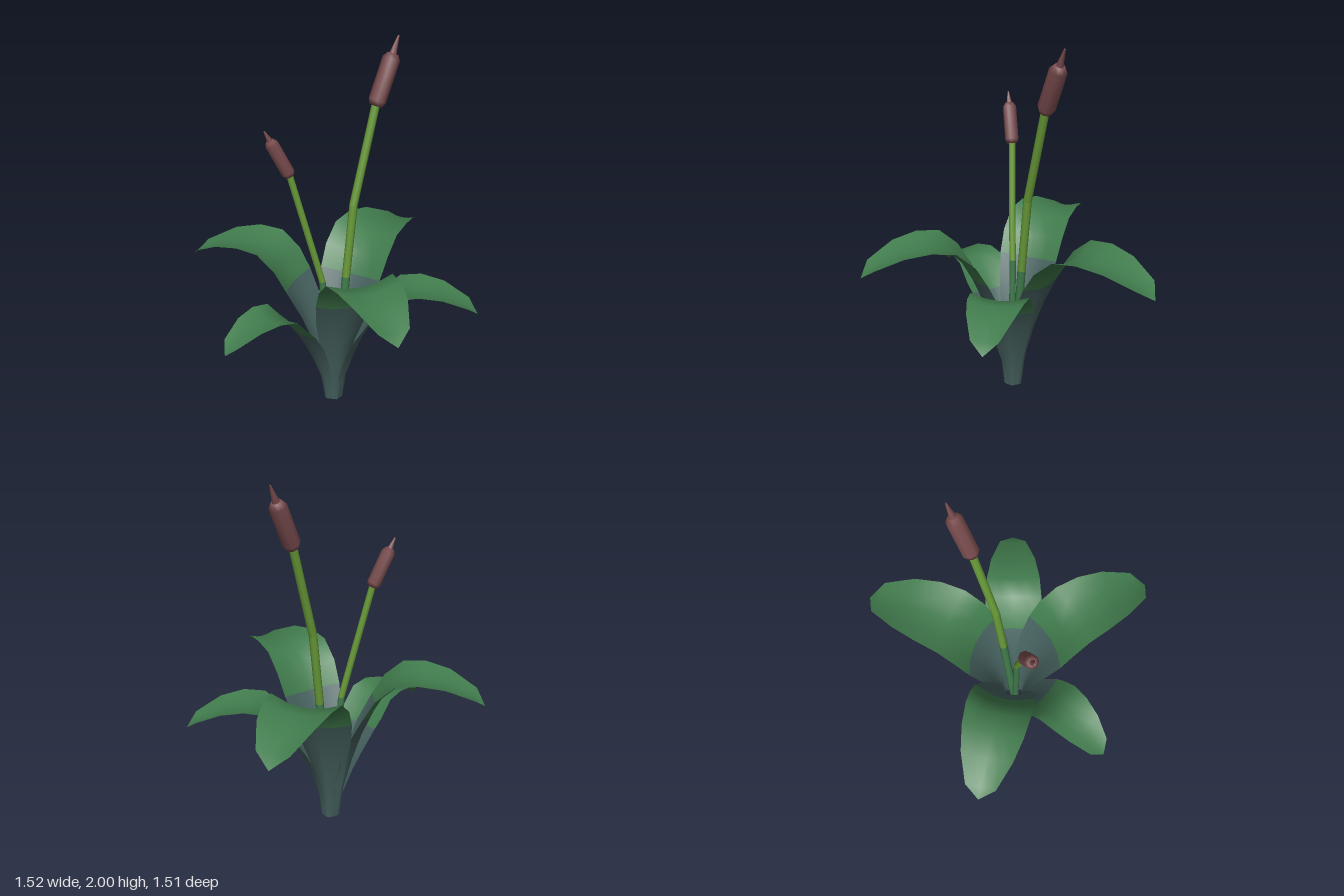
import * as THREE from 'three';

const material = (name, color, side = THREE.FrontSide) => {
  const m = new THREE.MeshStandardMaterial({ color, side });
  m.name = name;
  return m;
};

// Leaf stations from root to tip: distance out, height, width, depth of the gutter
const STATIONS = [
  [0.052, 0, 0.08, 0.038], [0.071, 0.18, 0.135, 0.048], [0.118, 0.36, 0.21, 0.055],
  [0.17, 0.52, 0.29, 0.053], [0.235, 0.67, 0.35, 0.045], [0.295, 0.78, 0.367, 0.042],
  [0.38, 0.86, 0.365, 0.04], [0.49, 0.876, 0.345, 0.036], [0.62, 0.858, 0.288, 0.03],
  [0.77, 0.8, 0.17, 0.016], [0.83, 0.75, 0, 0],
];
const SPLIT = 4; // station where the sheath colour ends
const SPLIT_R = 0.235, TIP_R = 0.83, PEAK = 0.876;
const ACROSS = 4;

// The sheath scales with the leaf's height; the blade stretches outward to its reach
function leafGeometry(reach, height, width) {
  const pos = [], index = [];
  const stretch = (reach - SPLIT_R) / (TIP_R - SPLIT_R);
  const pts = STATIONS.map(([r, y], i) => (i > SPLIT
    ? new THREE.Vector2(SPLIT_R + (r - SPLIT_R) * stretch, y - PEAK * (1 - height))
    : new THREE.Vector2(r, y * height)));
  const last = pts.length - 1;
  pts.forEach((p, i) => {
    const t = pts[Math.min(i + 1, last)].clone().sub(pts[Math.max(i - 1, 0)]).normalize();
    const [, , w, depth] = STATIONS[i];
    for (let j = 0; j <= ACROSS; j++) {
      const s = (j / ACROSS) * 2 - 1;
      const lift = depth * width * width * s * s;
      pos.push(p.x - lift * t.y, i ? p.y + lift * t.x : 0, s * w * width / 2);
    }
  });
  const row = ACROSS + 1;
  for (let i = 0; i < last; i++) {
    for (let j = 0; j < ACROSS; j++) {
      const a = i * row + j, b = a + 1, c = a + row, d = c + 1;
      index.push(a, b, c);
      if (i < last - 1) index.push(b, d, c);
    }
  }
  const g = new THREE.BufferGeometry();
  g.setAttribute('position', new THREE.Float32BufferAttribute(pos, 3));
  // The last row fans into the tip through its middle vertex
  const tip = last * row + ACROSS / 2;
  g.setIndex(index.map(k => (k >= last * row ? tip : k)));
  g.computeVertexNormals();
  const sheathCount = SPLIT * ACROSS * 6;
  g.addGroup(0, sheathCount, 0);
  g.addGroup(sheathCount, index.length - sheathCount, 1);
  return g;
}

// Tapered piece running from one point to another
function rod(name, from, to, r0, r1, sides, mat) {
  const dir = to.clone().sub(from);
  const mesh = new THREE.Mesh(new THREE.CylinderGeometry(r1, r0, dir.length(), sides), mat);
  mesh.name = name;
  mesh.position.copy(from).add(to).multiplyScalar(0.5);
  mesh.quaternion.setFromUnitVectors(new THREE.Vector3(0, 1, 0), dir.normalize());
  return mesh;
}

function cattail(name, path, headEnd, tipEnd, stemR, headR, mats) {
  const group = new THREE.Group();
  group.name = name;
  const p = path.map(a => new THREE.Vector3(...a));
  const end = new THREE.Vector3(...headEnd);
  const tip = new THREE.Vector3(...tipEnd);
  // Stem, greener at its foot
  for (let i = 0; i < p.length - 1; i++) {
    group.add(rod(i ? 'stem' : 'stemFoot', p[i], p[i + 1], stemR, stemR, 8, i ? mats.stem : mats.leaf));
  }
  // Seed head with bevelled ends
  const start = p[p.length - 1];
  const axis = end.clone().sub(start);
  const len = axis.length(), bevel = headR * 0.6;
  const profile = [[0, 0], [headR * 0.72, 0], [headR, bevel], [headR, len - bevel], [headR * 0.6, len], [0, len]];
  const g = new THREE.LatheGeometry(profile.map(a => new THREE.Vector2(...a)), 8);
  const head = new THREE.Mesh(g, mats.head);
  head.name = 'seedHead';
  head.position.copy(start);
  head.quaternion.setFromUnitVectors(new THREE.Vector3(0, 1, 0), axis.normalize());
  group.add(head, rod('spike', end, tip, headR * 0.42, headR * 0.1, 6, mats.head));
  return group;
}

export function createModel() {
  const model = new THREE.Group();
  model.name = 'cattailPlant';
  const mats = {
    sheath: material('sheathBlueGreen', 0x46625f, THREE.DoubleSide),
    leaf: material('leafGreen', 0x417c4d, THREE.DoubleSide),
    stem: material('stemGreen', 0x689a38),
    head: material('seedHeadBrown', 0x774a4c),
  };

  // Leaves: outward direction x, z, then reach, height scale and width scale
  const leaves = [
    ['frontRightLeaf', -0.245, 0.8, 0.838, 1, 1],
    ['frontLeftLeaf', 0.545, 0.558, 0.785, 0.785, 0.86],
    ['leftLeaf', 0.815, -0.31, 0.873, 0.982, 1.06],
    ['backLeaf', -0.42, -0.71, 0.825, 1, 0.97],
    ['rightLeaf', -0.7, -0.018, 0.702, 0.72, 0.75],
  ];
  for (const [name, x, z, reach, height, width] of leaves) {
    const leaf = new THREE.Mesh(leafGeometry(reach, height, width), [mats.sheath, mats.leaf]);
    leaf.name = name;
    leaf.position.set(-0.06, 0, -0.048);
    leaf.rotation.y = Math.atan2(-z, x);
    model.add(leaf);
  }

  // Tall and short flower stalks
  model.add(cattail('tallCattail',
    [[-0.05, 0.01, -0.042], [0.028, 0.72, -0.042], [0.08, 1.13, -0.042], [0.228, 1.65, -0.042]],
    [0.345, 1.91, -0.042], [0.383, 2, -0.042], 0.0225, 0.047, mats));
  model.add(cattail('shortCattail',
    [[-0.07, 0.01, -0.045], [-0.108, 0.72, -0.078], [-0.16, 0.95, -0.11], [-0.245, 1.34, -0.168]],
    [-0.335, 1.54, -0.21], [-0.36, 1.595, -0.222], 0.018, 0.037, mats));
  return model;
}
